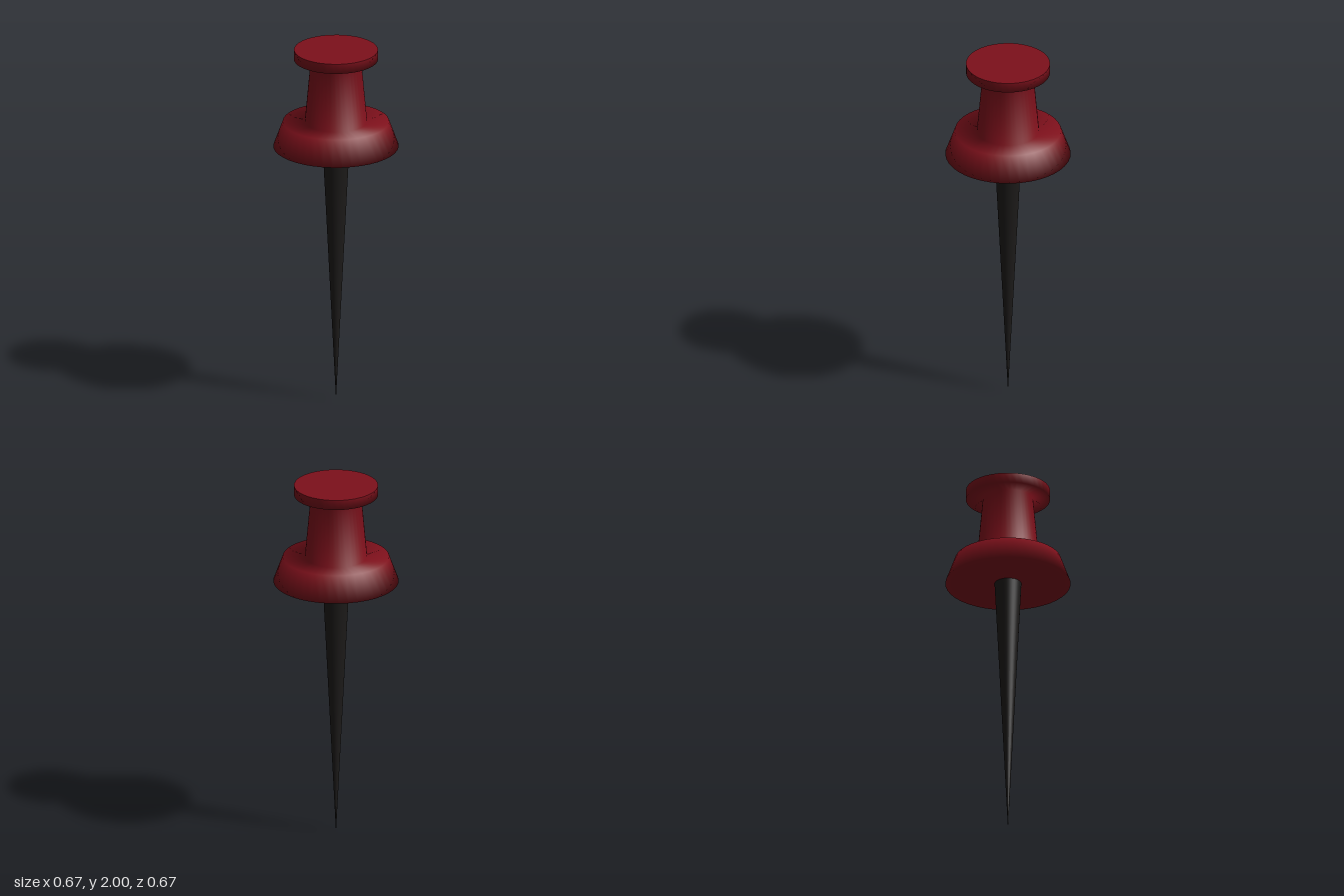
import * as THREE from 'three';

const SIDES = 40;

// Smooth solid of revolution; profile runs from bottom to top as [radius, y]
function turned(name, profile, material) {
  const points = profile.map(([r, y]) => new THREE.Vector2(r, y));
  const mesh = new THREE.Mesh(new THREE.LatheGeometry(points, SIDES), material);
  mesh.name = name;
  return mesh;
}

export function createModel() {
  const group = new THREE.Group();
  group.name = 'pushPin';
  const red = new THREE.MeshStandardMaterial({ color: 0x7d101b });
  const dark = new THREE.MeshStandardMaterial({ color: 0x1c1a19 });

  // Flared collar, tapered neck and head rim in one smooth sweep
  group.add(turned('grip', [
    [0, 1.45], [0.336, 1.45], [0.285, 1.59], [0.167, 1.59],
    [0.135, 1.945], [0.225, 1.945], [0.225, 2],
  ], red));

  // Flat disc closing the head with a crisp edge
  const cap = new THREE.Mesh(new THREE.CircleGeometry(0.225, SIDES), red);
  cap.name = 'headTop';
  cap.rotation.x = -Math.PI / 2;
  cap.position.y = 2;
  group.add(cap);

  // Long needle tapering to a point
  group.add(turned('needle', [[0, 0], [0.072, 1.45]], dark));

  return group;
}
